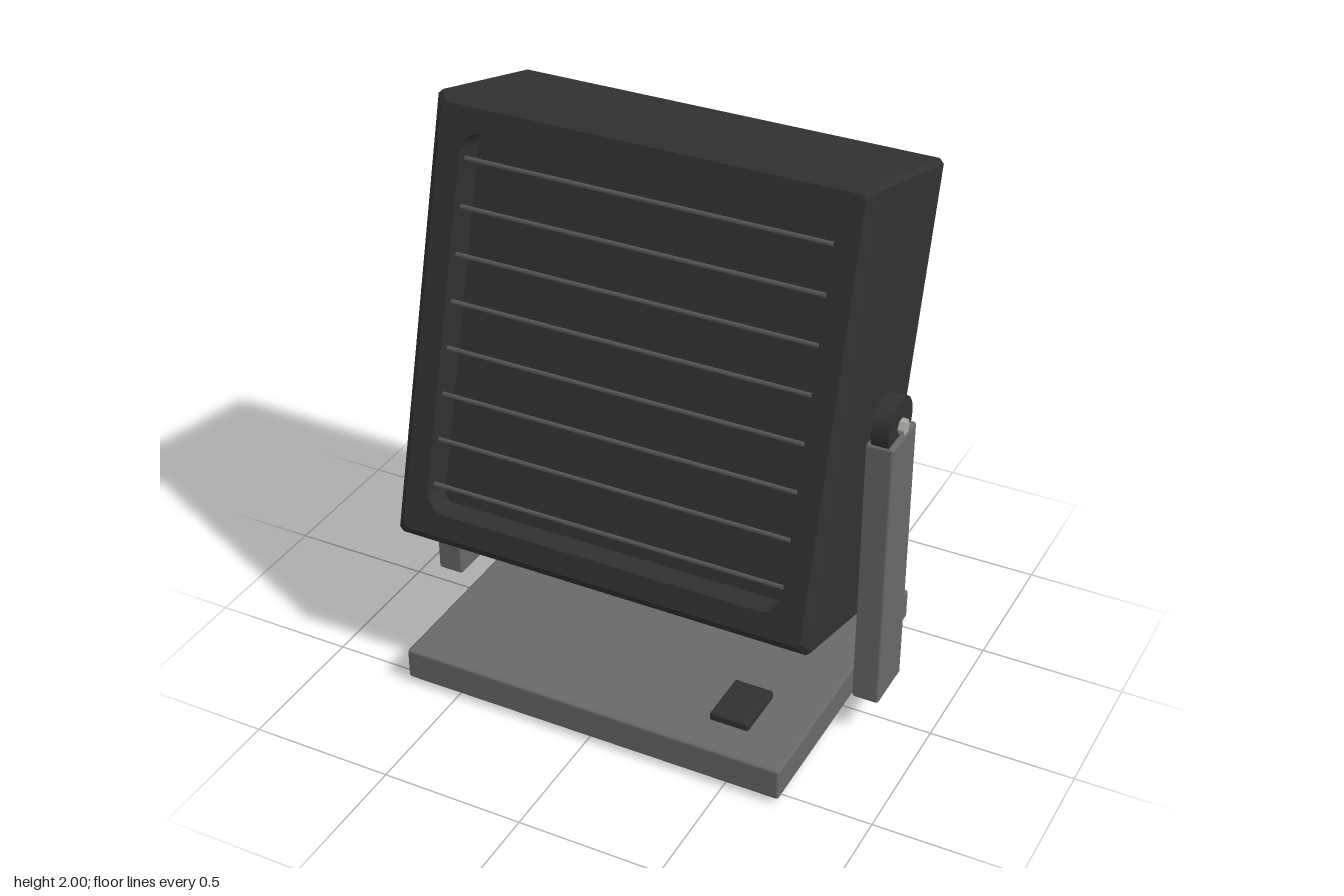
import * as THREE from 'three';
import { RoundedBoxGeometry } from 'three/addons/geometries/RoundedBoxGeometry.js';
import { toCreasedNormals } from 'three/addons/utils/BufferGeometryUtils.js';

const mat = (color) => new THREE.MeshStandardMaterial({ color });
const dark = mat(0x333130), grey = mat(0x676a69), steel = mat(0xa8a8a4), black = mat(0x1c1c1c), wire = mat(0x555555);

function add(parent, name, geometry, material, x = 0, y = 0, z = 0) {
  const mesh = new THREE.Mesh(geometry, material);
  mesh.name = name;
  mesh.position.set(x, y, z);
  parent.add(mesh);
  return mesh;
}

const block = (w, h, d, r = 0.01) => new RoundedBoxGeometry(w, h, d, 1, r);

// Square outline with rounded corners
function roundedSquare(path, s, r) {
  const c = s - r;
  path.moveTo(s, -c);
  path.lineTo(s, c);
  path.absarc(c, c, r, 0, Math.PI / 2);
  path.absarc(-c, c, r, Math.PI / 2, Math.PI);
  path.absarc(-c, -c, r, Math.PI, Math.PI * 1.5);
  path.absarc(c, -c, r, Math.PI * 1.5, Math.PI * 2);
  return path;
}

// Open square tunnel whose outer rims are chamfered
function housingGeometry() {
  const s = 0.75, c = 0.735;
  const shape = new THREE.Shape([[s, -c], [s, c], [c, s], [-c, s], [-s, c], [-s, -c], [-c, -s], [c, -s]]
    .map(([x, y]) => new THREE.Vector2(x, y)));
  shape.holes.push(roundedSquare(new THREE.Path(), 0.64, 0.07));
  const g = new THREE.ExtrudeGeometry(shape, { depth: 0.6, steps: 20, bevelEnabled: false, curveSegments: 6 });
  g.translate(0, 0, -0.3);
  const p = g.attributes.position;
  for (let i = 0; i < p.count; i++) {
    const x = p.getX(i), y = p.getY(i);
    if (Math.abs(p.getZ(i)) > 0.299 && Math.max(Math.abs(x), Math.abs(y)) > 0.7) p.setXY(i, x * 0.96, y * 0.96);
  }
  return toCreasedNormals(g, 0.5);
}

export function createModel() {
  const model = new THREE.Group();
  model.name = 'tiltingFanHeater';

  // Base with switch and rear cable socket
  add(model, 'base', block(1.39, 0.115, 1.095), grey, 0, 0.0725, 0.002);
  add(model, 'switch', block(0.14, 0.035, 0.2, 0.008), dark, 0.45, 0.138, 0.31);
  const socket = new THREE.Group();
  socket.name = 'cableSocket';
  socket.position.set(0, 0.07, -0.545);
  socket.rotation.x = -Math.PI / 2;
  model.add(socket);
  add(socket, 'socketFlange', new THREE.CylinderGeometry(0.07, 0.07, 0.015, 20), black, 0, 0.003);
  add(socket, 'socketNeck', new THREE.CylinderGeometry(0.06, 0.04, 0.02, 20), black, 0, -0.01);
  add(socket, 'socketCore', new THREE.CylinderGeometry(0.03, 0.03, 0.012, 16), dark, 0, 0.007);

  // Side posts, pivots and bolts
  for (const side of [1, -1]) {
    add(model, 'post', block(0.095, 0.995, 0.195), grey, side * 0.7975, 0.6325, 0);
    const pivot = add(model, 'pivot', new THREE.CylinderGeometry(0.097, 0.097, 0.06, 32), dark, side * 0.797, 1.163, 0);
    const bolt = add(model, 'bolt', new THREE.CylinderGeometry(0.027, 0.027, 0.1, 6), steel, side * 0.797, 1.163, 0);
    bolt.material = mat(0xa8a8a4);
    bolt.material.flatShading = true;
    pivot.rotation.z = bolt.rotation.z = Math.PI / 2;
  }

  // Head tilted backwards
  const head = new THREE.Group();
  head.name = 'head';
  head.position.set(0, 1.21, 0.007);
  head.rotation.x = -Math.PI / 12;
  model.add(head);
  add(head, 'housing', housingGeometry(), dark);
  add(head, 'frontPanel', new THREE.BoxGeometry(1.26, 1.26, 0.02), dark, 0, 0, 0.19);

  // Front grille bars
  for (let i = 0; i < 8; i++) {
    const bar = add(head, 'grilleBar', new THREE.CylinderGeometry(0.008, 0.008, 1.26, 8), wire, 0, -0.55 + i * 1.1 / 7, 0.275);
    bar.rotation.z = Math.PI / 2;
  }

  // Fan
  const fan = new THREE.Group();
  fan.name = 'fan';
  fan.position.z = -0.08;
  head.add(fan);
  const hub = add(fan, 'hub', new THREE.CylinderGeometry(0.18, 0.18, 0.18, 32), dark);
  hub.rotation.x = Math.PI / 2;
  for (let i = 0; i < 7; i++) {
    const arm = new THREE.Group();
    arm.name = 'bladeArm';
    arm.rotation.z = i * Math.PI * 2 / 7;
    fan.add(arm);
    add(arm, 'blade', new THREE.BoxGeometry(0.42, 0.2, 0.02), dark, 0.36, 0, 0).rotation.x = 0.5;
  }

  // Rear guard rings
  for (const r of [0.255, 0.385, 0.525]) {
    add(head, 'guardRing', new THREE.TorusGeometry(r, 0.008, 8, 48), wire, 0, 0, -0.302);
  }
  return model;
}
